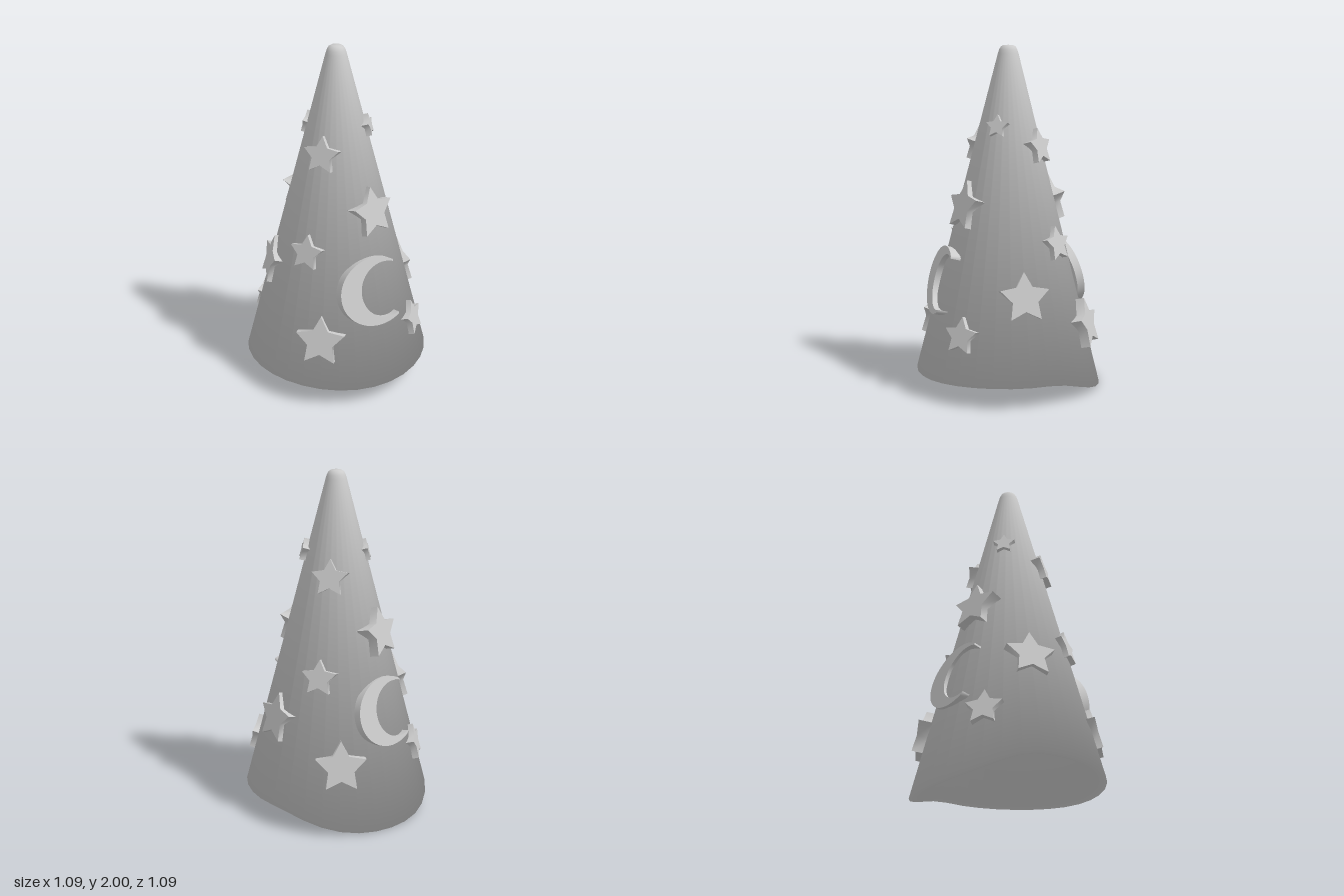
import * as THREE from 'three';
import { toCreasedNormals } from 'three/addons/utils/BufferGeometryUtils.js';

const TOP = 1.95, TOP_R = 0.06, RIM_R = 0.546, BASE = 0.125;
const SEGMENTS = 32;
const DEG = Math.PI / 180;

// Height of the wavy rim: dips deeply at the back and slightly at the front
function rimHeight(azimuth) {
  const s = Math.cos(azimuth);
  if (s > 0) return BASE - 0.025 * s ** 3;
  const dip = (t) => THREE.MathUtils.smoothstep(t, 0.2, 1.12);
  return BASE * (1 - dip(-s) / dip(1));
}

// How much the cone widens per unit of height at an azimuth
function coneSlope(azimuth) {
  return (RIM_R - TOP_R) / (TOP - rimHeight(azimuth));
}

// Hollow cone with a rounded tip; its long walls are stretched down to the wavy rim
function hatGeometry() {
  const profile = [
    [0, 1.84], [0.03, 1.82], [0.492, 0.132], // inside
    [RIM_R, BASE], [TOP_R, TOP], // outside
    [0.053, 1.972], [0.043, 1.99], [0.028, 1.999], [0, 2], // tip
  ].map(([r, y]) => new THREE.Vector2(r, y));

  // Soft normals: each profile corner shares its two neighbouring sides equally
  const sides = profile.slice(1).map((p, i) => {
    const d = p.clone().sub(profile[i]).normalize();
    return new THREE.Vector2(d.y, -d.x);
  });
  const corners = profile.map((_, j) => {
    const before = sides[Math.max(j - 1, 0)], after = sides[Math.min(j, sides.length - 1)];
    return before.clone().add(after).normalize();
  });

  const geo = new THREE.LatheGeometry(profile, SEGMENTS);
  const { position, normal } = geo.attributes;
  for (let i = 0; i < position.count; i++) {
    const azimuth = Math.floor(i / profile.length) / SEGMENTS * Math.PI * 2;
    const n = corners[i % profile.length];
    normal.setXYZ(i, n.x * Math.sin(azimuth), n.y, n.x * Math.cos(azimuth));
    const y = position.getY(i);
    if (y < TOP) position.setY(i, y - (BASE - rimHeight(azimuth)) * (TOP - y) / (TOP - BASE));
  }
  return geo;
}

function starShape(radius) {
  const shape = new THREE.Shape();
  for (let i = 0; i < 10; i++) {
    const r = i % 2 ? radius * 0.52 : radius;
    const a = Math.PI / 2 + i * Math.PI / 5;
    shape[i ? 'lineTo' : 'moveTo'](r * Math.cos(a), r * Math.sin(a));
  }
  shape.closePath();
  return shape;
}

// Crescent with slightly blunt tips, opening towards its +x side
function moonShape() {
  const a = 54.7 * DEG, b = 68 * DEG;
  const shape = new THREE.Shape();
  shape.absellipse(0.032, 0, 0.225, 0.2, a, Math.PI * 2 - a, false);
  shape.absarc(0.102, 0, 0.163, Math.PI * 2 - b, b, true);
  shape.closePath();
  return shape;
}

export function createModel() {
  const group = new THREE.Group();
  const material = new THREE.MeshStandardMaterial({ color: 0xcccccc });

  const hat = new THREE.Mesh(hatGeometry(), material);
  hat.name = 'hatCone';
  group.add(hat);

  // Lays a flat extruded decoration against the sloping cone, sunk in by 'embed'
  function addDecoration(name, shape, azimuthDeg, y, lift = 0.03, embed = 0.033) {
    const azimuth = azimuthDeg * DEG;
    const slope = coneSlope(azimuth);
    const geo = new THREE.ExtrudeGeometry(shape, { depth: lift + embed, bevelEnabled: false, curveSegments: 24 });
    geo.translate(0, 0, -embed);
    const mesh = new THREE.Mesh(toCreasedNormals(geo, 70 * DEG), material);
    const r = TOP_R + (TOP - y) * slope;
    mesh.position.set(r * Math.sin(azimuth), y, r * Math.cos(azimuth));
    mesh.rotation.set(-Math.atan(slope), azimuth, 0, 'YXZ');
    mesh.name = name;
    group.add(mesh);
  }

  // Stars: azimuth, height, radius and, where it differs, lift
  const stars = {
    front: [
      [-46, 1.42, 0.108], [57, 1.54, 0.067], [19, 1.085, 0.148],
      [-52, 0.875, 0.105, 0.026], [-35, 0.39, 0.147], [44, 0.385, 0.108],
    ],
    back: [
      [134, 1.42, 0.108], [231, 1.54, 0.067, 0.02], [200, 1.09, 0.148, 0.045],
      [128, 0.875, 0.105], [147, 0.39, 0.15, 0.052], [224, 0.385, 0.108],
    ],
    left: [[89, 0.605, 0.147, 0.023]],
    right: [[-102, 0.73, 0.147, 0.022]],
  };
  for (const [side, list] of Object.entries(stars)) {
    list.forEach(([azimuth, y, radius, lift], i) =>
      addDecoration(`${side}Star${i + 1}`, starShape(radius), azimuth, y, lift));
  }

  addDecoration('frontMoon', moonShape(), 3.5, 0.65, 0.03, 0.03);
  addDecoration('backMoon', moonShape(), 187.5, 0.65, 0.016, 0.03);

  return group;
}
